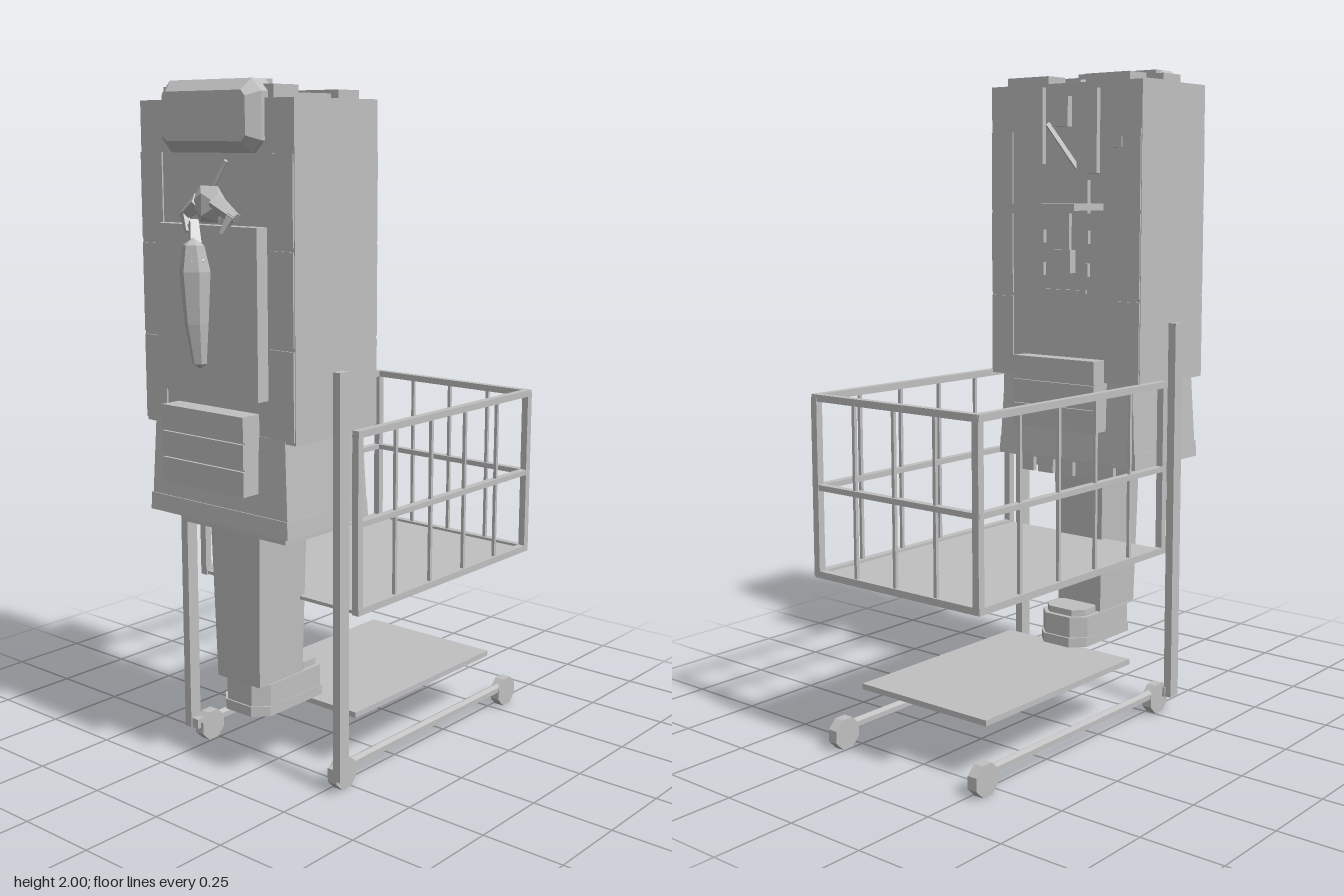
import * as THREE from 'three';

export function createModel() {
  const model = new THREE.Group();
  const grey = new THREE.MeshStandardMaterial({ color: 0xc0c0c0, flatShading: true });
  grey.name = 'plain grey';

  function add(name, geo, x = 0, y = 0, z = 0) {
    const m = new THREE.Mesh(geo, grey);
    m.name = name;
    m.position.set(x, y, z);
    model.add(m);
    return m;
  }
  // box given by its limits on each axis
  function box(name, x0, x1, y0, y1, z0, z1) {
    return add(name, new THREE.BoxGeometry(x1 - x0, y1 - y0, z1 - z0),
      (x0 + x1) / 2, (y0 + y1) / 2, (z0 + z1) / 2);
  }
  // box whose bottom face is resized
  function taper(name, x, z0, z1, y0, y1, sx, sz) {
    const m = box(name, -x, x, y0, y1, z0, z1);
    const p = m.geometry.attributes.position;
    for (let i = 0; i < p.count; i++) {
      if (p.getY(i) < 0) p.setXYZ(i, p.getX(i) * sx, p.getY(i), p.getZ(i) * sz);
    }
    return m;
  }
  // rectangle with cut corners
  function cutRect(w, h, c) {
    return new THREE.Shape([[-w, -h + c], [-w + c, -h], [w - c, -h], [w, -h + c],
      [w, h - c], [w - c, h], [-w + c, h], [-w, h - c]].map(([x, y]) => new THREE.Vector2(x, y)));
  }
  // round bar between two points
  function bar(name, a, b, r, sides = 6, r2 = r) {
    const A = new THREE.Vector3(...a), B = new THREE.Vector3(...b);
    const d = B.clone().sub(A);
    const m = add(name, new THREE.CylinderGeometry(r2, r, d.length(), sides));
    m.position.copy(A).add(B).multiplyScalar(0.5);
    m.quaternion.setFromUnitVectors(new THREE.Vector3(0, 1, 0), d.normalize());
    return m;
  }

  // torso and skirt
  box('torso', -0.287, 0.287, 1.05, 1.95, 0.147, 0.483);
  taper('skirt', 0.25, 0.163, 0.485, 0.84, 1.06, 1.05, 1.04);
  taper('skirtHem', 0.265, 0.157, 0.495, 0.79, 0.84, 1.01, 1.01);
  for (const s of [-1, 1]) {
    for (const [y0, y1] of [[1.06, 1.3], [1.31, 1.56], [1.57, 1.81]]) {
      const a = s * 0.2, b = s * 0.285;
      box('frontSeamPlate', Math.min(a, b), Math.max(a, b), y0, y1, 0.483, 0.488);
      box('backSeamPlate', Math.min(a, b), Math.max(a, b), y0, y1, 0.142, 0.147);
    }
  }

  // top of the torso
  for (const s of [-1, 1]) {
    box('shoulderPad', s * 0.152 - 0.08, s * 0.152 + 0.08, 1.94, 1.975, 0.16, 0.245);
    box('shoulderStrap', s * 0.18 - 0.025, s * 0.18 + 0.025, 1.94, 1.965, 0.245, 0.38);
  }
  add('neckPlate', new THREE.CylinderGeometry(0.08, 0.09, 0.02, 6), 0, 1.955, 0.31);
  box('collarBlock', -0.205, 0.205, 1.94, 1.985, 0.375, 0.47);

  // rolled bag at the upper front
  const bag = new THREE.ExtrudeGeometry(cutRect(0.155, 0.065, 0.015), {
    depth: 0.05, bevelEnabled: true, bevelThickness: 0.03, bevelSize: 0.03, bevelSegments: 1 });
  add('frontBag', bag, 0, 1.905, 0.445);
  box('bagFlap', -0.15, 0.15, 1.95, 2.0, 0.415, 0.485);

  // chest panel and pouches
  box('chestPanel', -0.19, 0.19, 1.16, 1.62, 0.48, 0.523);
  for (const [z0, z1, name] of [[0.47, 0.54, 'frontPouch'], [0.1, 0.18, 'backPouch']]) {
    box(name, -0.155, 0.155, 0.9, 1.12, z0, z1);
    for (let i = 0; i < 3; i++) {
      const y = 0.9 + i * 0.075;
      if (z0 > 0.3) box('pouchSlat', -0.157, 0.157, y, y + 0.07, z1, z1 + 0.009);
      else box('pouchSlat', -0.157, 0.157, y, y + 0.07, z0 - 0.009, z0);
    }
  }

  // hanging ornament: faceted body, knot, loops and stem
  const body = new THREE.LatheGeometry(
    [[0, 1.235], [0.02, 1.25], [0.034, 1.36], [0.044, 1.5], [0.03, 1.57], [0, 1.59]]
      .map(([r, y]) => new THREE.Vector2(r, y)), 6);
  const bp = body.attributes.position;
  for (let i = 0; i < bp.count; i++) {
    const y = bp.getY(i);
    bp.setZ(i, bp.getZ(i) * 0.95 + 0.55 + 0.08 * (y - 1.24) * (y < 1.5 ? 1 : 0.6));
  }
  body.computeVertexNormals();
  add('ornamentBody', body);
  const knot = add('ornamentKnot', new THREE.IcosahedronGeometry(0.06, 0), 0, 1.675, 0.505);
  knot.scale.set(1.05, 0.95, 0.6);
  for (const s of [-1, 1]) {
    bar('ornamentLoop', [s * 0.03, 1.68, 0.51], [s * 0.1, 1.64, 0.505], 0.028, 5, 0.015);
    bar('ornamentTail', [s * 0.09, 1.65, 0.51], [s * 0.065, 1.6, 0.525], 0.015, 4, 0.008);
  }
  bar('ornamentRibbon', [-0.035, 1.63, 0.53], [0.015, 1.52, 0.57], 0.016, 4, 0.024);
  bar('ornamentStem', [0.01, 1.72, 0.5], [0.055, 1.79, 0.495], 0.007, 5);

  // back straps, shelf and fittings
  box('backStrap', 0.07, 0.125, 1.71, 1.94, 0.13, 0.147);
  box('backStrap', -0.135, -0.06, 1.68, 1.93, 0.13, 0.147);
  box('backBuckle', -0.03, 0.03, 1.82, 1.91, 0.125, 0.147);
  bar('diagonalStrap', [0.06, 1.83, 0.142], [-0.06, 1.69, 0.142], 0.009, 4);
  box('backTab', -0.22, -0.16, 1.755, 1.785, 0.137, 0.147);
  box('backShelf', -0.15, 0.145, 1.57, 1.59, 0, 0.147);
  box('shelfMount', -0.1, 0.1, 1.56, 1.66, 0.132, 0.147);
  box('bracket', -0.045, 0.045, 1.38, 1.45, 0.12, 0.147);
  box('bracketStem', -0.03, 0.03, 1.45, 1.57, 0.134, 0.147);
  for (const s of [-1, 1]) {
    for (const y of [1.37, 1.47]) box('bracketClip', s * 0.085 - 0.016, s * 0.085 + 0.016, y, y + 0.04, 0.134, 0.147);
  }
  box('backStitch', -0.09, 0.09, 1.318, 1.328, 0.139, 0.147);

  // hanging flaps below the skirt
  for (let i = -2; i <= 2; i++) box('hemFlap', i * 0.078 - 0.03, i * 0.078 + 0.03, 0.745, 0.8, 0.155, 0.17);
  box('hipBlock', -0.2, 0.2, 0.75, 0.8, 0.22, 0.43);

  // leg and boot, toe towards the basket
  taper('leg', 0.096, 0.225, 0.425, 0.3, 0.79, 0.87, 0.92);
  function layer(name, w, z0, z1, y0, y1, c) {
    const g = new THREE.ExtrudeGeometry(cutRect(w, (z1 - z0) / 2, c), { depth: y1 - y0, bevelEnabled: false });
    g.rotateX(-Math.PI / 2);
    add(name, g, 0, y0, (z0 + z1) / 2);
  }
  layer('bootSole', 0.09, 0.113, 0.42, 0.205, 0.235, 0.04);
  layer('bootUpper', 0.088, 0.12, 0.415, 0.235, 0.3, 0.04);
  layer('bootToe', 0.075, 0.135, 0.25, 0.3, 0.32, 0.03);

  // basket: floor, rails, side bars and back bars
  box('basketFloor', -0.31, 0.31, 0.527, 0.537, -0.61, 0.25);
  for (const y of [0.535, 0.79, 1.048]) {
    const h = y === 0.79 ? 0.008 : 0.01;
    for (const s of [-1, 1]) box('sideRail', s * 0.303 - 0.012, s * 0.303 + 0.012, y - h, y + h, -0.613, 0.255);
    box('backRail', -0.31, 0.31, y - h, y + h, -0.615, -0.592);
  }
  for (const s of [-1, 1]) {
    for (let i = 0; i < 6; i++) {
      const z = 0.245 - i * 0.17, r = i % 5 === 0 ? 0.011 : 0.005;
      box('sideBar', s * 0.303 - r, s * 0.303 + r, 0.53, 1.05, z - r, z + r);
    }
  }
  for (const x of [-0.152, 0, 0.152]) box('backBar', x - 0.005, x + 0.005, 0.53, 1.05, -0.609, -0.599);

  // cart frame: posts, base rails, wheels and low tray
  for (const s of [-1, 1]) {
    box('post', s * 0.302 - 0.013, s * 0.302 + 0.013, 0.05, 1.23, 0.295, 0.335);
    bar('baseRail', [s * 0.271, 0.065, 0.3], [s * 0.271, 0.065, -0.55], 0.016, 6);
    box('postFoot', s * 0.28 - 0.015, s * 0.28 + 0.015, 0.05, 0.08, 0.29, 0.33);
    for (const z of [0.272, -0.553]) {
      const g = new THREE.CylinderGeometry(0.049, 0.049, 0.032, 8);
      g.rotateY(Math.PI / 8).rotateZ(Math.PI / 2);
      add('wheel', g, s * 0.271, 0.049, z);
    }
  }
  box('lowTray', -0.24, 0.24, 0.175, 0.192, -0.505, 0.175);

  return model;
}
